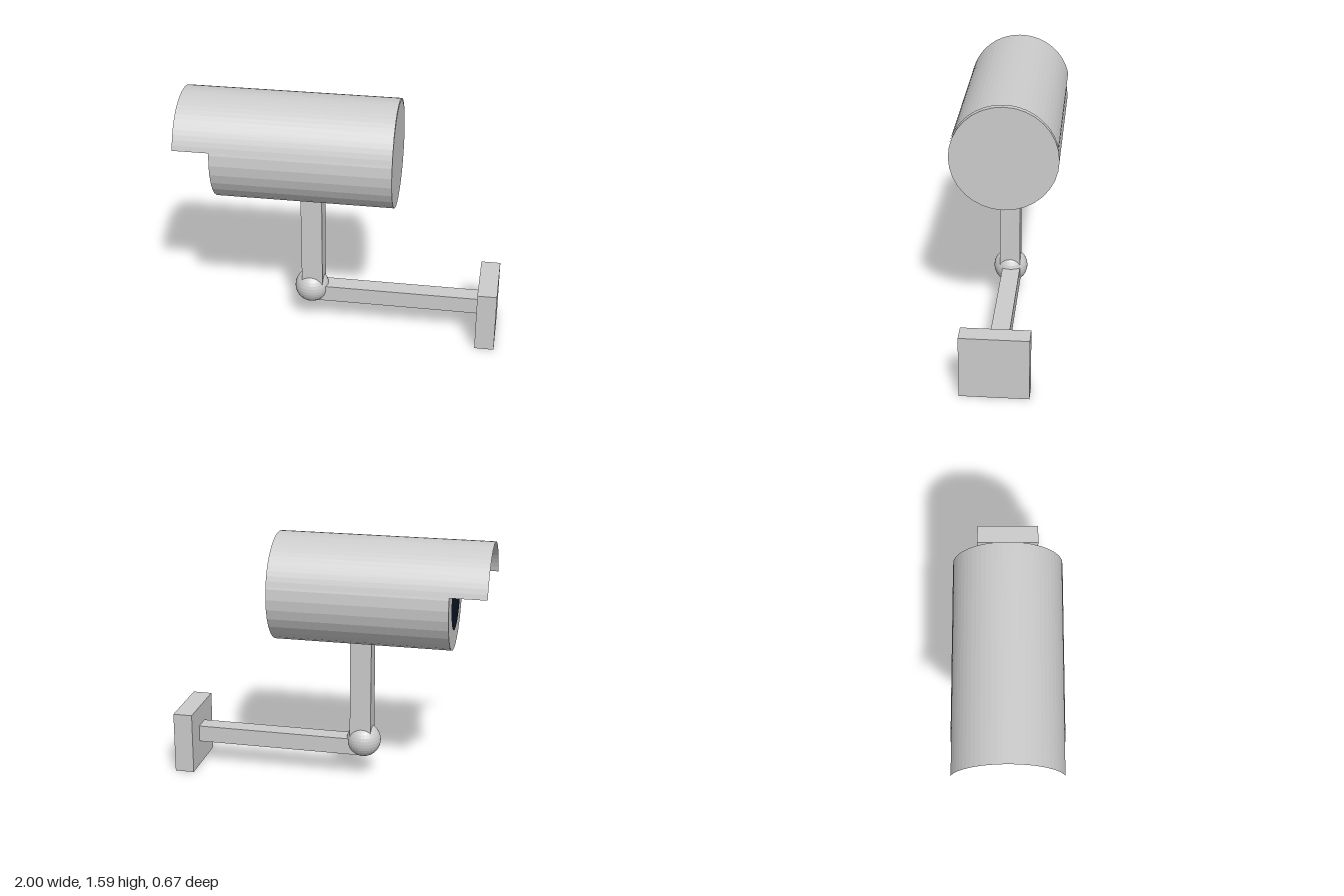
import * as THREE from 'three';

const grey = new THREE.MeshStandardMaterial({ color: 0xcccccc, flatShading: true });
const greyThin = new THREE.MeshStandardMaterial({ color: 0xcccccc, flatShading: true, side: THREE.DoubleSide });
const dark = new THREE.MeshStandardMaterial({ color: 0x0a1622 });

const RADIUS = 0.334;
const BODY_Y = 1.243;

export function createModel() {
  const model = new THREE.Group();

  const add = (name, geometry, material = grey) => {
    const mesh = new THREE.Mesh(geometry, material);
    mesh.name = name;
    model.add(mesh);
    return mesh;
  };

  // Box given by its extents along each axis
  const addBox = (name, [x0, x1], [y0, y1], [z0, z1]) =>
    add(name, new THREE.BoxGeometry(x1 - x0, y1 - y0, z1 - z0))
      .position.set((x0 + x1) / 2, (y0 + y1) / 2, (z0 + z1) / 2);

  // Wall mount: plate, horizontal arm, ball joint and upright post
  addBox('wallPlate', [0.877, 1], [0, 0.396], [-0.21, 0.21]);
  addBox('wallArm', [-0.235, 0.88], [0.16, 0.267], [-0.066, 0.049]);
  addBox('post', [-0.267, -0.132], [0.25, 0.93], [-0.066, 0.066]);
  add('ballJoint', new THREE.SphereGeometry(0.11, 32, 16)).position.set(-0.211, 0.247, 0);

  // Camera body: closed cylinder lying along x
  const x0 = -0.775, x1 = 0.337;
  const body = add('body', new THREE.CylinderGeometry(RADIUS, RADIUS, x1 - x0, 32).rotateZ(Math.PI / 2));
  body.position.set((x0 + x1) / 2, BODY_Y, 0);

  // Dark lens disc on the front end of the body, facing -x
  const lens = add('lens', new THREE.CircleGeometry(0.21, 32).rotateY(-Math.PI / 2), dark);
  lens.position.set(x0 - 0.002, BODY_Y, 0);

  // Sun hood: thin open arc over the top, set slightly above the body
  const start = 0.21; // lower edges sit this angle above the axis
  const hoodGeometry = new THREE.CylinderGeometry(
    RADIUS, RADIUS, x1 + 1, 28, 1, true, Math.PI / 2 + start - Math.PI / 2, Math.PI - 2 * start
  ).rotateZ(Math.PI / 2);
  // The arc opens towards +x before rotation, which turns it upwards
  const hood = add('sunHood', hoodGeometry, greyThin);
  hood.position.set((x1 - 1) / 2, BODY_Y + 0.012, 0);

  return model;
}
